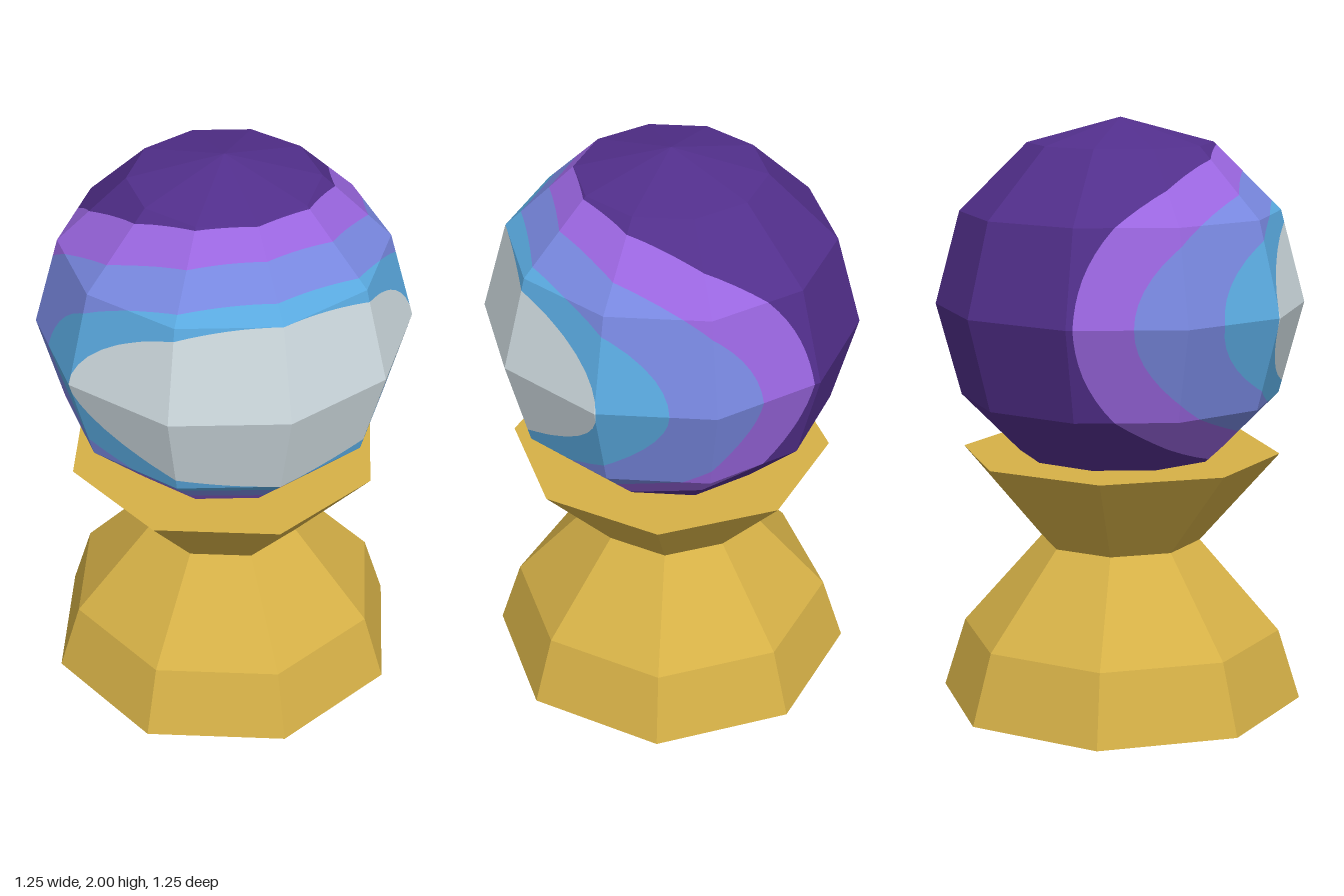
import * as THREE from 'three';

const mat = (name, color) => Object.assign(new THREE.MeshStandardMaterial({ color }), { name });

const gold = mat('gold', 0xd6b147);
// Nested oval bands around the front: half-width and half-height in degrees, roundness
const BANDS = [
  { name: 'silverCentre', w: 72.5, h: 30, n: 2, material: mat('silver', 0xcdd9de) },
  { name: 'skyBand', w: 94, h: 37, n: 2, material: mat('sky blue', 0x5aaae0) },
  { name: 'periwinkleBand', w: 124, h: 49.4, n: 2, material: mat('periwinkle', 0x7888e0) },
  { name: 'violetBand', w: 142, h: 59.8, n: 2.4, material: mat('violet', 0x9a66e0) },
  { name: 'purpleShell', material: mat('deep purple', 0x522f8c) },
];

const RADIUS = 0.625, CENTRE_Y = 1.375;
const AZ_STEP = 36, LAT_STEP = 30, CELLS = 8;

// Corner of the faceted ball, azimuth measured from +z towards +x
function corner(az, lat) {
  const a = THREE.MathUtils.degToRad(az), l = THREE.MathUtils.degToRad(lat);
  const r = RADIUS * Math.cos(l);
  return new THREE.Vector3(r * Math.sin(a), CENTRE_Y + RADIUS * Math.sin(l), r * Math.cos(a));
}

// Point on the flat facet whose lower corner is (az0, lat0)
function facetPoint([az, lat], az0, lat0) {
  const s = (az - az0) / AZ_STEP, t = (lat - lat0) / LAT_STEP;
  const low = corner(az0, lat0).lerp(corner(az0 + AZ_STEP, lat0), s);
  const high = corner(az0, lat0 + LAT_STEP).lerp(corner(az0 + AZ_STEP, lat0 + LAT_STEP), s);
  return low.lerp(high, t);
}

// Cut a polygon along an oval into its inner and outer pieces
function split(poly, { w, h, n }) {
  const f = ([a, l]) => Math.abs(a / w) ** n + Math.abs(l / h) ** n - 1;
  const inner = [], outer = [];
  poly.forEach((p, i) => {
    const q = poly[(i + 1) % poly.length], fp = f(p), fq = f(q);
    (fp < 0 ? inner : outer).push(p);
    if ((fp < 0) !== (fq < 0)) {
      const k = fp / (fp - fq);
      const cut = [p[0] + (q[0] - p[0]) * k, p[1] + (q[1] - p[1]) * k];
      inner.push(cut);
      outer.push(cut);
    }
  });
  return [inner, outer];
}

function addPolygon(out, poly, az0, lat0) {
  const pts = poly.map((p) => facetPoint(p, az0, lat0));
  for (let i = 1; i < pts.length - 1; i++) {
    const tri = new THREE.Triangle(pts[0], pts[i], pts[i + 1]);
    if (tri.getArea() < 1e-9) continue;
    for (const p of [tri.a, tri.b, tri.c]) out.push(p.x, p.y, p.z);
  }
}

// Ten-sided faceted ball, divided into one mesh per colour band
function createBall() {
  const ball = new THREE.Group();
  ball.name = 'ball';
  const positions = BANDS.map(() => []);
  const da = AZ_STEP / CELLS, dl = LAT_STEP / CELLS;
  for (let az0 = -180; az0 < 180; az0 += AZ_STEP) {
    for (let lat0 = -90; lat0 < 90; lat0 += LAT_STEP) {
      for (let i = 0; i < CELLS; i++) {
        for (let j = 0; j < CELLS; j++) {
          const a = az0 + i * da, l = lat0 + j * dl;
          let rest = [[a, l], [a + da, l], [a + da, l + dl], [a, l + dl]];
          BANDS.forEach((band, k) => {
            let piece = rest;
            if (band.w) [piece, rest] = split(rest, band);
            addPolygon(positions[k], piece, az0, lat0);
          });
        }
      }
    }
  }
  BANDS.forEach(({ name, material }, k) => {
    const geometry = new THREE.BufferGeometry();
    geometry.setAttribute('position', new THREE.Float32BufferAttribute(positions[k], 3));
    geometry.computeVertexNormals();
    const mesh = new THREE.Mesh(geometry, material);
    mesh.name = name;
    ball.add(mesh);
  });
  return ball;
}

// Eight-sided flat-faced stand section between two heights
function standSection(name, y0, r0, y1, r1) {
  const geometry = new THREE.CylinderGeometry(r1, r0, y1 - y0, 8).toNonIndexed();
  geometry.computeVertexNormals();
  const mesh = new THREE.Mesh(geometry, gold);
  mesh.position.y = (y0 + y1) / 2;
  mesh.name = name;
  return mesh;
}

export function createModel() {
  const model = new THREE.Group();
  model.name = 'ballOnStand';
  model.add(
    standSection('foot', 0, 0.625, 0.24, 0.55),
    standSection('neck', 0.24, 0.55, 0.555, 0.275),
    standSection('cup', 0.555, 0.275, 0.865, 0.545),
    createBall(),
  );
  return model;
}
